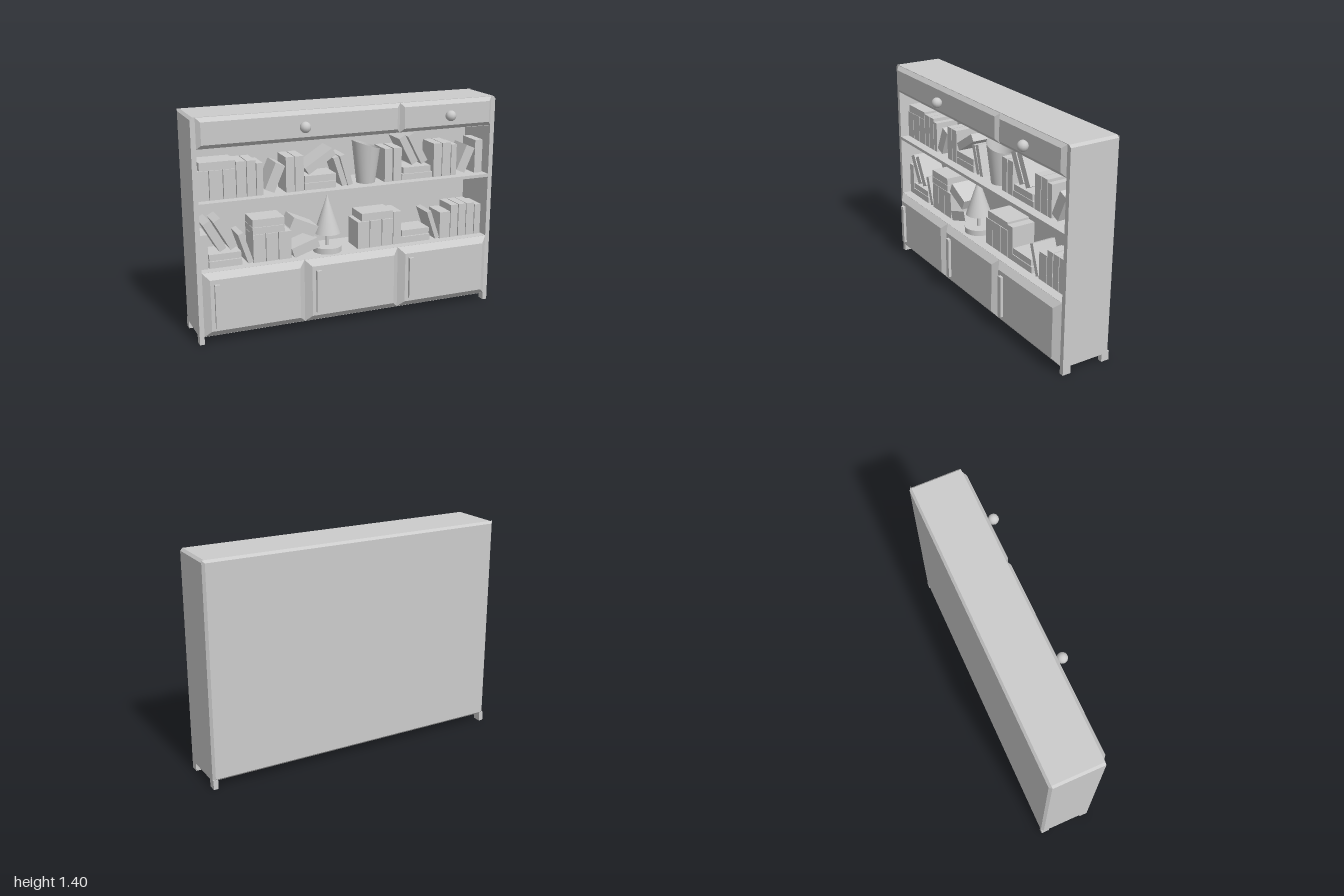
import * as THREE from 'three';

const material = new THREE.MeshStandardMaterial({ color: 0xcccccc });
const openMaterial = new THREE.MeshStandardMaterial({ color: 0xcccccc, side: THREE.DoubleSide });

const WIDTH = 2, BOTTOM = 0.05, TOP = 1.4, FRONT = 0.12, BACK = -0.215;
const LOWER = 0.46, UPPER = 0.885; // shelf floor heights

function add(parent, name, geometry, x = 0, y = 0, z = 0, mat = material) {
  const mesh = new THREE.Mesh(geometry, mat);
  mesh.name = name;
  mesh.position.set(x, y, z);
  parent.add(mesh);
  return mesh;
}

// Box whose +z face is drawn in on all sides
function bevelledPanel(w, h, d, inset) {
  const g = new THREE.BoxGeometry(w, h, d);
  const p = g.attributes.position;
  for (let i = 0; i < p.count; i++) {
    if (p.getZ(i) < 0) continue;
    p.setX(i, p.getX(i) - Math.sign(p.getX(i)) * inset);
    p.setY(i, p.getY(i) - Math.sign(p.getY(i)) * inset);
  }
  g.computeVertexNormals();
  return g;
}

// Front frame with two shelf openings, extruded through the depth
function carcassGeometry() {
  const c = 0.015, w = WIDTH / 2;
  const shape = new THREE.Shape([
    [-w, BOTTOM], [w, BOTTOM], [w, TOP - c], [w - c, TOP], [-w + c, TOP], [-w, TOP - c],
  ].map(([x, y]) => new THREE.Vector2(x, y)));
  for (const [y0, y1] of [[LOWER, 0.865], [UPPER, 1.21]]) {
    shape.holes.push(new THREE.Path([
      [-0.97, y0], [-0.97, y1], [0.97, y1], [0.97, y0],
    ].map(([x, y]) => new THREE.Vector2(x, y))));
  }
  const g = new THREE.ExtrudeGeometry(shape, { depth: FRONT + 0.2, bevelEnabled: false });
  return g.translate(0, 0, -0.2);
}

// Upright books: [left, right, top]
const upperUprights = [
  [-0.965, -0.89, 1.065], [-0.885, -0.805, 1.065], [-0.8, -0.725, 1.065],
  [-0.72, -0.66, 1.105], [-0.655, -0.6, 1.105], [-0.595, -0.555, 1.085],
  [-0.41, -0.355, 1.105], [-0.35, -0.295, 1.105],
  [0.25, 0.302, 1.1], [0.312, 0.367, 1.1],
  [0.597, 0.655, 1.105], [0.66, 0.72, 1.105], [0.725, 0.763, 1.09], [0.9, 0.955, 1.105],
];
const lowerUprights = [
  [-0.965, -0.912, 0.675],
  [-0.628, -0.55, 0.638], [-0.545, -0.468, 0.638], [-0.463, -0.382, 0.638],
  [0.067, 0.147, 0.638], [0.152, 0.232, 0.638], [0.237, 0.312, 0.638], [0.316, 0.372, 0.68],
  [0.655, 0.73, 0.638], [0.735, 0.788, 0.68], [0.794, 0.848, 0.68],
  [0.853, 0.91, 0.68], [0.916, 0.96, 0.665],
];
// Lying and leaning books: [centre x, centre y, width, height, tilt in degrees]
const upperLoose = [
  [-0.835, 1.092, 0.22, 0.05, 0], [-0.48, 0.985, 0.064, 0.176, -24],
  [-0.185, 0.908, 0.205, 0.043, 0], [-0.185, 0.954, 0.205, 0.043, 0],
  [-0.185, 1.06, 0.21, 0.05, 32],
  [-0.054, 0.985, 0.034, 0.192, 18], [-0.013, 0.989, 0.034, 0.2, 16],
  [0.48, 0.905, 0.214, 0.038, 0], [0.478, 0.947, 0.192, 0.04, 0],
  [0.415, 1.08, 0.048, 0.2, 28], [0.48, 1.085, 0.048, 0.21, 28],
  [0.832, 0.985, 0.064, 0.176, -24],
];
const lowerLoose = [
  [-0.804, 0.481, 0.205, 0.043, 0], [-0.806, 0.527, 0.2, 0.04, 0],
  [-0.868, 0.66, 0.048, 0.205, 29], [-0.8, 0.667, 0.048, 0.21, 29],
  [-0.676, 0.561, 0.034, 0.2, 18],
  [-0.527, 0.662, 0.205, 0.043, 0], [-0.527, 0.71, 0.205, 0.048, 0],
  [-0.297, 0.65, 0.175, 0.072, -25], [-0.286, 0.515, 0.178, 0.065, 18],
  [0.203, 0.667, 0.22, 0.05, 0],
  [0.477, 0.481, 0.208, 0.043, 0], [0.477, 0.527, 0.195, 0.04, 0],
  [0.605, 0.561, 0.03, 0.2, 19],
];

function addBooks(parent, name, floor, uprights, loose) {
  const group = new THREE.Group();
  group.name = name;
  const book = (x, y, w, h, tilt) => {
    const mesh = add(group, 'book', new THREE.BoxGeometry(w, h, 0.16), x, y, -0.02);
    mesh.rotation.z = THREE.MathUtils.degToRad(tilt);
  };
  for (const [x0, x1, top] of uprights) book((x0 + x1) / 2, (floor + top) / 2, x1 - x0, top - floor, 0);
  for (const b of loose) book(...b);
  parent.add(group);
}

// Open vase with a slanted rim
function vaseGeometry() {
  const profile = [[0, 0], [0.06, 0], [0.06, 0], [0.09, 0.245]].map(([r, y]) => new THREE.Vector2(r, y));
  const g = new THREE.LatheGeometry(profile, 24);
  const p = g.attributes.position;
  for (let i = 0; i < p.count; i++) {
    if (p.getY(i) > 0.1) p.setY(i, p.getY(i) - p.getX(i) * 0.33);
  }
  g.computeVertexNormals();
  return g;
}

export function createModel() {
  const model = new THREE.Group();
  model.name = 'bookcase';

  // Carcass, back and feet
  add(model, 'carcass', carcassGeometry());
  const back = add(model, 'backPanel', bevelledPanel(WIDTH, TOP - BOTTOM, 0.015, 0.015),
    0, (TOP + BOTTOM) / 2, BACK + 0.0075);
  back.rotation.y = Math.PI;
  for (const x of [-0.985, 0.985]) {
    for (const z of [-0.187, 0.093]) add(model, 'foot', new THREE.BoxGeometry(0.03, 0.06, 0.054), x, 0.03, z);
  }

  // Drawer fronts with round knobs
  for (const [x0, x1] of [[-0.97, 0.32], [0.32, 0.97]]) {
    const x = (x0 + x1) / 2;
    add(model, 'drawerFront', bevelledPanel(x1 - x0, 0.185, 0.022, 0.025), x, 1.305, FRONT + 0.011);
    add(model, 'drawerKnob', new THREE.SphereGeometry(0.034, 12, 8), x, 1.305, 0.181);
  }

  // Cupboard doors with bar handles
  [[-0.97, -0.32, -0.89], [-0.32, 0.32, -0.24], [0.32, 0.97, 0.4]].forEach(([x0, x1, handleX]) => {
    add(model, 'door', bevelledPanel(x1 - x0, 0.408, 0.034, 0.04), (x0 + x1) / 2, 0.255, FRONT + 0.017);
    add(model, 'doorHandle', new THREE.BoxGeometry(0.032, 0.275, 0.02), handleX, 0.253, 0.163);
  });

  // Books
  addBooks(model, 'upperBooks', UPPER, upperUprights, upperLoose);
  addBooks(model, 'lowerBooks', LOWER, lowerUprights, lowerLoose);

  // Vase
  add(model, 'vase', vaseGeometry(), 0.143, UPPER + 0.001, 0, openMaterial);

  // Table lamp
  const lamp = new THREE.Group();
  lamp.name = 'tableLamp';
  lamp.position.set(-0.12, LOWER, 0);
  add(lamp, 'lampBase', new THREE.CylinderGeometry(0.092, 0.092, 0.036, 24), 0, 0.018, 0);
  add(lamp, 'lampStem', new THREE.CylinderGeometry(0.011, 0.011, 0.12, 12), 0, 0.08, 0);
  add(lamp, 'lampShade', new THREE.ConeGeometry(0.084, 0.25, 24), 0, 0.245, 0);
  model.add(lamp);

  return model;
}
